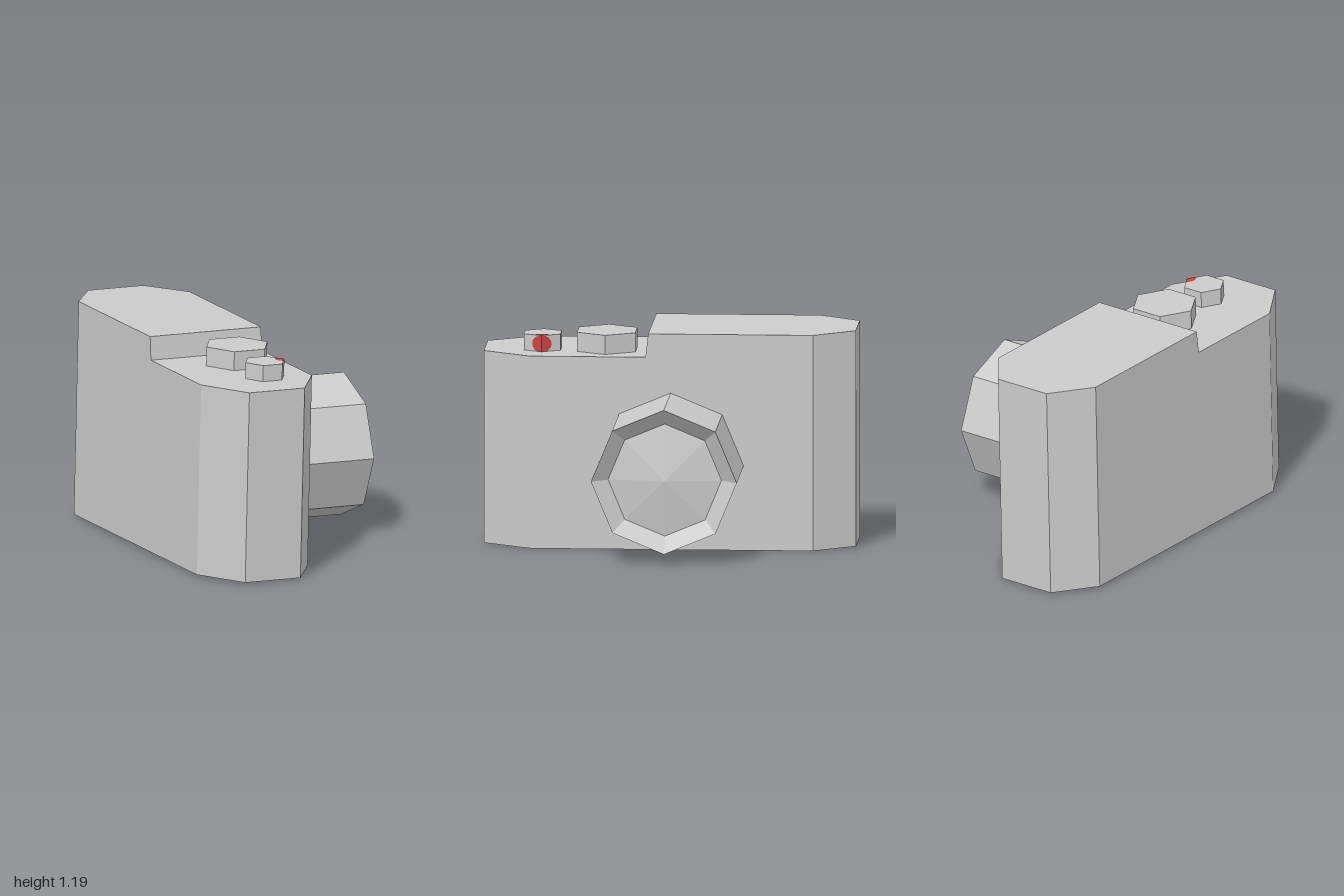
import * as THREE from 'three';

const grey = new THREE.MeshStandardMaterial({ color: 0xcccccc, flatShading: true });
const red = new THREE.MeshStandardMaterial({ color: 0xcc4444, flatShading: true, side: THREE.DoubleSide });

const LOW = 1.046, TOP = 1.173, STEP = 0.12;

// Extrudes an outline given as [x, z] corners upwards from y0 to y1
function prism(outline, y0, y1) {
  const shape = new THREE.Shape(outline.map(([x, z]) => new THREE.Vector2(x, -z)));
  const geo = new THREE.ExtrudeGeometry(shape, { depth: y1 - y0, bevelEnabled: false });
  return geo.rotateX(-Math.PI / 2).translate(0, y0, 0);
}

export function createModel() {
  const model = new THREE.Group();
  model.name = 'camera';
  const tilted = new THREE.Group();
  tilted.name = 'tiltedCamera';
  tilted.position.x = 0.04;
  tilted.rotation.z = -0.024;
  model.add(tilted);

  const add = (name, geo, material = grey) => {
    const mesh = new THREE.Mesh(geo, material);
    mesh.name = name;
    tilted.add(mesh);
    return mesh;
  };

  // Body with chamfered ends
  const backEnd = [[0, -0.78], [-0.168, -1], [-0.497, -1], [-0.66, -0.78]];
  const frontEnd = [[-0.66, 0.74], [-0.497, 1], [-0.168, 1], [0, 0.74]];
  add('body', prism([...backEnd, ...frontEnd], 0, LOW));

  // Raised top section, its step face leaning back a little
  const raised = prism([...backEnd, [-0.66, STEP], [0, STEP]], LOW, TOP);
  const pos = raised.attributes.position;
  for (let i = 0; i < pos.count; i++) {
    if (pos.getY(i) > TOP - 0.01 && pos.getZ(i) > 0) pos.setZ(i, STEP - 0.015);
  }
  raised.computeVertexNormals();
  add('raisedTop', raised);

  // Eight-sided lens barrel with a recessed rim and shallow domed glass
  const lensParts = {
    lensBarrel: [[0.392, -0.02], [0.392, 0.56]],
    lensRim: [[0.392, 0.56], [0.305, 0.48]],
    lensGlass: [[0.305, 0.48], [0, 0.525]],
  };
  for (const [name, profile] of Object.entries(lensParts)) {
    const geo = new THREE.LatheGeometry(profile.map(([r, h]) => new THREE.Vector2(r, h)), 8);
    add(name, geo.rotateZ(-Math.PI / 2)).position.set(0, 0.46, -0.015);
  }

  // Hexagonal knobs on the lower deck
  const knobX = -0.257;
  const knob = (name, r, top, z) => {
    const geo = new THREE.CylinderGeometry(r, r, top - LOW, 6).rotateY(Math.PI / 2);
    add(name, geo).position.set(knobX, (top + LOW) / 2, z);
  };
  const buttonR = 0.114, buttonTop = 1.134, buttonZ = 0.688;
  knob('windingKnob', 0.181, 1.15, 0.342);
  knob('shutterButton', buttonR, buttonTop, buttonZ);

  // Red mark wrapped round the outer corner of the shutter button
  const cornerX = knobX + buttonR;
  for (const side of [1, -1]) {
    const angle = side > 0 ? Math.PI / 3 : (2 * Math.PI) / 3;
    const half = new THREE.CircleGeometry(0.047, 12, side * Math.PI / 2, Math.PI);
    half.scale(1.25, 1, 1).translate(0, 0, 0.002).rotateY(angle);
    add('redMarkSide', half, red).position.set(cornerX, buttonTop - 0.047, buttonZ);
  }
  const wedge = new THREE.CircleGeometry(0.047, 8, (2 * Math.PI) / 3, (2 * Math.PI) / 3);
  wedge.rotateX(-Math.PI / 2);
  add('redMarkTop', wedge, red).position.set(cornerX, buttonTop + 0.002, buttonZ);

  return model;
}
